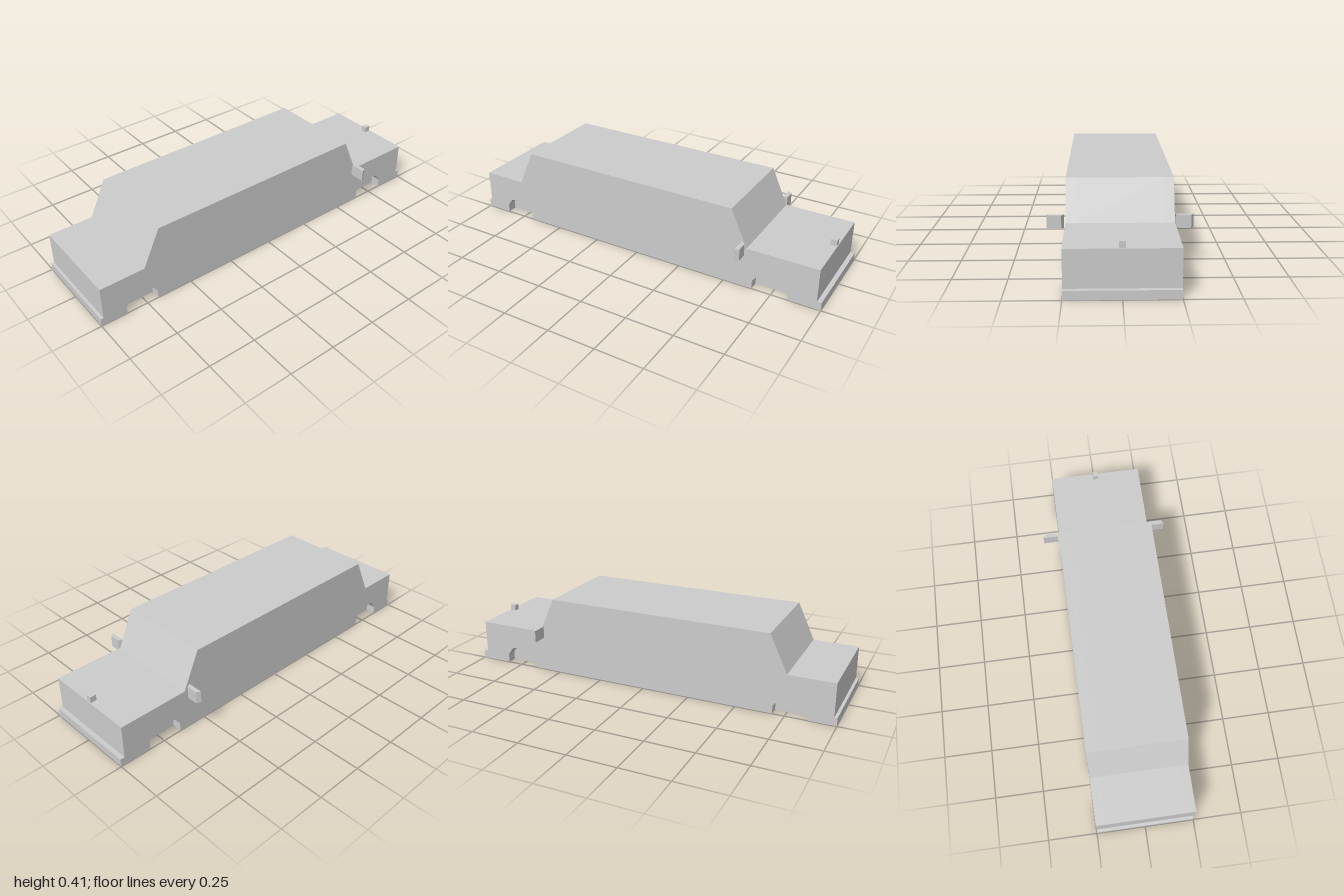
import * as THREE from 'three';

const material = new THREE.MeshStandardMaterial({ color: 0xcccccc, flatShading: true });
const WIDTH = 0.498, ARCH_DEPTH = 0.05;

function addMesh(parent, name, geometry) {
  const mesh = new THREE.Mesh(geometry, material);
  mesh.name = name;
  parent.add(mesh);
  return mesh;
}

// Five-sided wheel arch cut into the sill, listed from rear to front as [z, y]
function arch(z, halfWidth, height) {
  return [
    [z - halfWidth, 0], [z - halfWidth, height * 0.42], [z - halfWidth * 0.68, height * 0.8],
    [z, height], [z + halfWidth * 0.68, height * 0.8], [z + halfWidth, height * 0.42], [z + halfWidth, 0],
  ];
}

// Side outline of the body as [z, y], extruded across x and centred
function bodySlab(sill, width) {
  const outline = [
    [-1, 0], ...sill, [1, 0], [1, 0.042], [0.985, 0.042], [0.985, 0.215], [0.75, 0.215],
    [0.66, 0.407], [-0.525, 0.407], [-0.612, 0.215], [-0.977, 0.215], [-0.977, 0.042], [-1, 0.042],
  ];
  const shape = new THREE.Shape(outline.map(([z, y]) => new THREE.Vector2(z, y)));
  return new THREE.ExtrudeGeometry(shape, { depth: width, bevelEnabled: false })
    .translate(0, 0, -width / 2)
    .rotateY(-Math.PI / 2);
}

export function createModel() {
  const car = new THREE.Group();
  car.name = 'car';

  // Solid middle of the body, between the wheel arches
  addMesh(car, 'bodyCore', bodySlab([], WIDTH - 2 * ARCH_DEPTH));

  // Mirror housing: tapered plan [x, z], extruded upwards
  const plan = new THREE.Shape(
    [[-0.04, 0.011], [-0.028, -0.011], [0.028, -0.011], [0.04, 0.011]].map(([x, z]) => new THREE.Vector2(x, z))
  );
  const mirrorGeometry = new THREE.ExtrudeGeometry(plan, { depth: 0.063, bevelEnabled: false })
    .rotateX(Math.PI / 2);

  const sill = [...arch(-0.742, 0.092, 0.106), ...arch(0.775, 0.086, 0.1)];
  const panelGeometry = bodySlab(sill, ARCH_DEPTH);
  for (const [side, s] of [['left', 1], ['right', -1]]) {
    // Outer side with the arches cut out
    addMesh(car, side + 'BodySide', panelGeometry).position.x = s * (WIDTH - ARCH_DEPTH) / 2;
    // Door mirror, standing just clear of the body
    addMesh(car, side + 'Mirror', mirrorGeometry).position.set(s * 0.296, 0.25, -0.598);
  }

  // Small block on the end deck
  addMesh(car, 'deckOrnament', new THREE.BoxGeometry(0.028, 0.032, 0.032)).position.set(0, 0.23, -0.957);

  return car;
}
